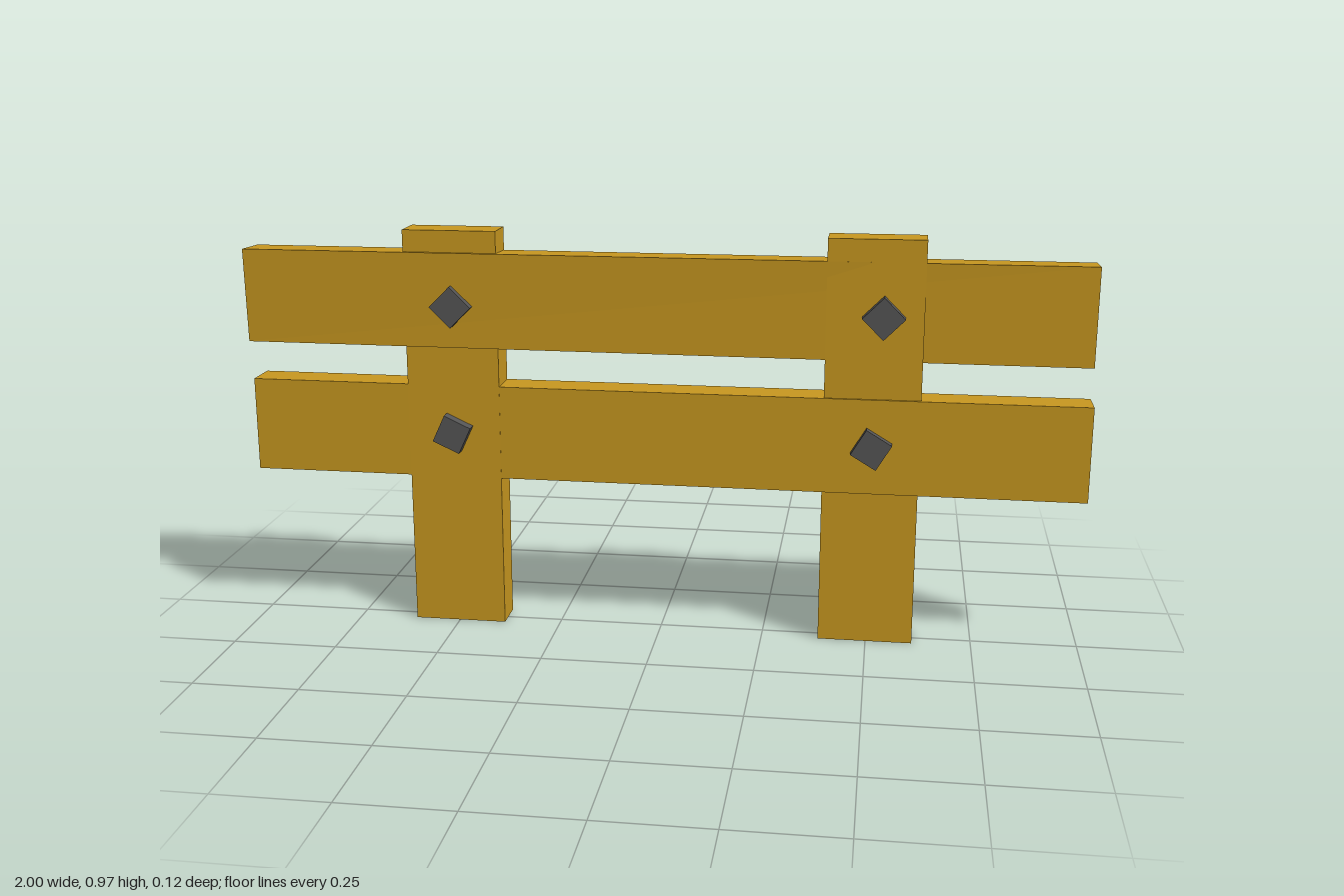
import * as THREE from 'three';

const wood = new THREE.MeshStandardMaterial({ color: 0xc89820, flatShading: true });
const iron = new THREE.MeshStandardMaterial({ color: 0x555555, flatShading: true });

// Hand-hewn plank: a box whose two end sections are given separately.
// Each end: { x, top, bottom, frontTop, frontBottom, back, drop } (drop lowers the back edge)
function plank(name, left, right) {
  const geo = new THREE.BoxGeometry(2, 2, 2);
  const pos = geo.attributes.position;
  for (let i = 0; i < pos.count; i++) {
    const end = pos.getX(i) > 0 ? right : left;
    const up = pos.getY(i) > 0;
    const front = pos.getZ(i) > 0;
    pos.setXYZ(
      i,
      end.x,
      (up ? end.top : end.bottom) - (front ? 0 : end.drop),
      front ? (up ? end.frontTop : end.frontBottom) : end.back
    );
  }
  geo.computeVertexNormals();
  const mesh = new THREE.Mesh(geo, wood);
  mesh.name = name;
  return mesh;
}

export function createModel() {
  const fence = new THREE.Group();
  fence.name = 'fence';

  // Upright posts
  for (const side of [-1, 1]) {
    const post = new THREE.Mesh(new THREE.BoxGeometry(0.224, 0.97, 0.085), wood);
    post.position.set(side * 0.498, 0.485, -0.0075);
    post.name = side > 0 ? 'leftPost' : 'rightPost';
    fence.add(post);
  }

  // Rails, each slightly askew so it passes in front of one post and behind the face of the other
  fence.add(
    plank('upperRail',
      { x: -0.998, top: 0.919, bottom: 0.694, frontTop: 0.053, frontBottom: 0.045, back: -0.045, drop: 0.004 },
      { x: 0.994, top: 0.917, bottom: 0.685, frontTop: 0.029, frontBottom: 0.026, back: -0.06, drop: 0.004 }),
    plank('lowerRail',
      { x: -0.998, top: 0.598, bottom: 0.371, frontTop: 0.03, frontBottom: 0.03, back: -0.056, drop: 0 },
      { x: 0.998, top: 0.598, bottom: 0.371, frontTop: 0.044, frontBottom: 0.044, back: -0.042, drop: 0 })
  );

  // Square bolts running right through rails and posts
  const bolts = [
    ['upperRightBolt', -0.494, 0.792, 45],
    ['upperLeftBolt', 0.518, 0.792, 45],
    ['lowerRightBolt', -0.499, 0.483, -25],
    ['lowerLeftBolt', 0.499, 0.483, -31],
  ];
  for (const [name, x, y, turn] of bolts) {
    const bolt = new THREE.Mesh(new THREE.BoxGeometry(0.07, 0.07, 0.125), iron);
    bolt.position.set(x, y, 0.001);
    bolt.rotation.z = THREE.MathUtils.degToRad(turn);
    bolt.name = name;
    fence.add(bolt);
  }

  return fence;
}
